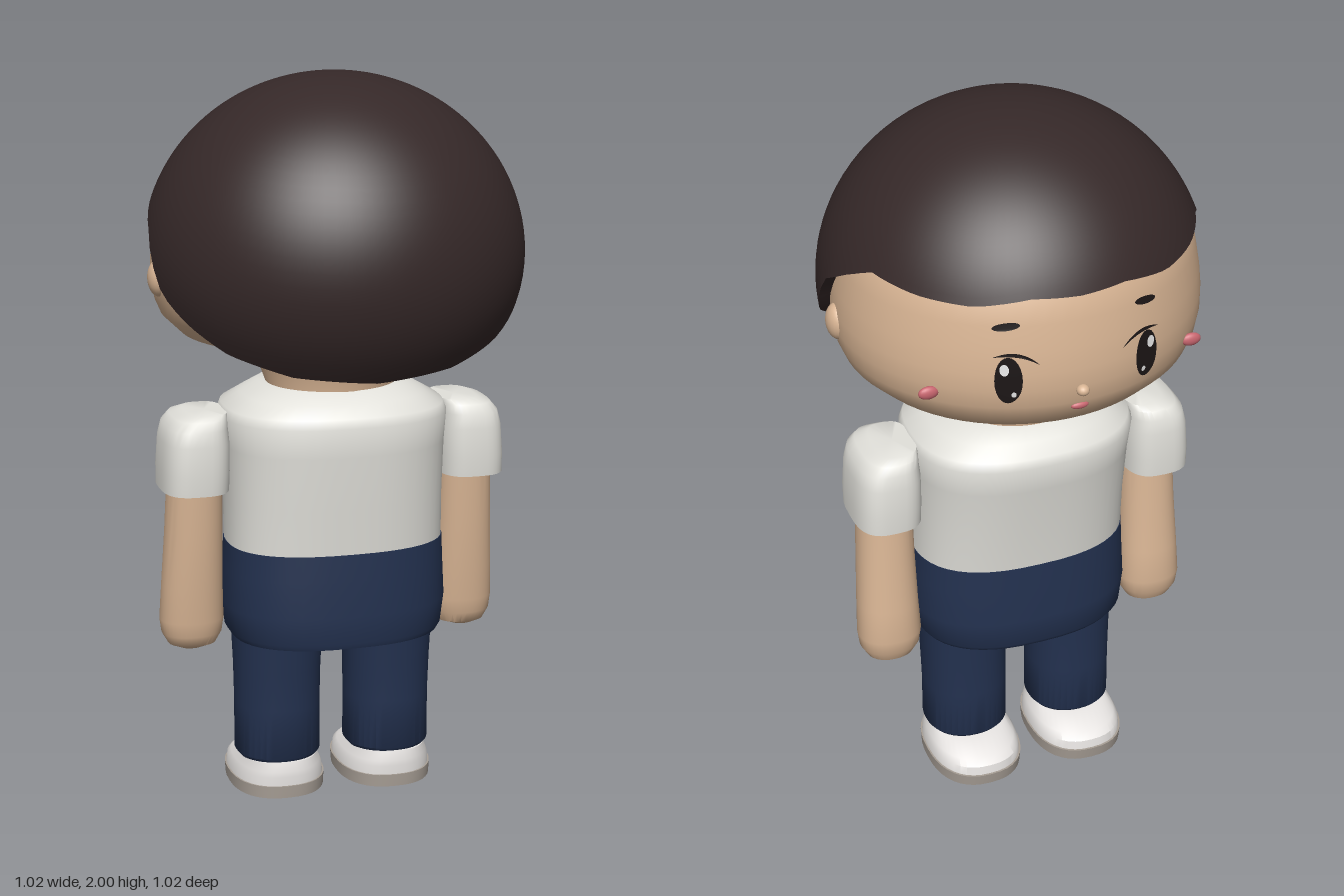
import * as THREE from 'three';
import { toCreasedNormals } from 'three/addons/utils/BufferGeometryUtils.js';

const mat = (name, color, side = THREE.FrontSide) => {
  const m = new THREE.MeshStandardMaterial({ color, side });
  m.name = name;
  return m;
};

// Linear lookup in a table of [key, value] pairs
function lookup(table, k) {
  for (let i = 1; i < table.length; i++) {
    const [k0, v0] = table[i - 1], [k1, v1] = table[i];
    if (k <= k1) return v0 + (v1 - v0) * Math.max(0, (k - k0) / (k1 - k0));
  }
  return table[table.length - 1][1];
}

// Skin over closed rows of points, listed bottom to top
function surface(rows, crease = 0.7) {
  const n = rows[0].length, index = [];
  for (let i = 0; i < rows.length - 1; i++) {
    for (let j = 0; j < n; j++) {
      const a = i * n + j, b = i * n + (j + 1) % n, c = a + n, d = b + n;
      index.push(a, c, b, b, c, d);
    }
  }
  const geo = new THREE.BufferGeometry();
  geo.setAttribute('position', new THREE.Float32BufferAttribute(rows.flat(2), 3));
  geo.setIndex(index);
  return toCreasedNormals(geo, crease);
}

// Capped loft of superellipse rings [y, xMin, xMax, zMin, zMax]
function loft(rings, power = 2, segments = 40, crease = 0.7) {
  const bend = (v) => Math.sign(v) * Math.abs(v) ** (2 / power);
  const row = ([y, x0, x1, z0, z1], s = 1) => Array.from({ length: segments }, (_, j) => {
    const t = (j / segments) * Math.PI * 2;
    return [(x0 + x1) / 2 + s * bend(Math.cos(t)) * (x1 - x0) / 2, y,
      (z0 + z1) / 2 + s * bend(Math.sin(t)) * (z1 - z0) / 2];
  });
  return surface([row(rings[0], 0), ...rings.map((r) => row(r)), row(rings[rings.length - 1], 0)], crease);
}

// Neck and head outline: [height, half width]
const HEAD = [[1.1, 0.18], [1.16, 0.18], [1.245, 0.21], [1.275, 0.31], [1.31, 0.41], [1.36, 0.462],
  [1.4, 0.479], [1.45, 0.488], [1.5, 0.488], [1.56, 0.482], [1.63, 0.47], [1.7, 0.455],
  [1.8, 0.385], [1.88, 0.28], [1.94, 0.14]];
const HEAD_Z = -0.03, HEAD_DEPTH = 0.94;

// Lower edge of the hair: [degrees away from the face, height]
const HAIRLINE = [[0, 1.7], [15, 1.705], [32, 1.685], [50, 1.688], [68, 1.7], [78, 1.66], [90, 1.6],
  [96, 1.53], [102, 1.45], [114, 1.38], [128, 1.315], [150, 1.265], [180, 1.245]];

function hairGeometry() {
  const segments = 96, steps = 26, rows = [];
  const radius = (y) => 0.512 * Math.sqrt(Math.max(0, 1 - ((y - 1.52) / (y > 1.52 ? 0.48 : 0.458)) ** 2));
  for (let i = -1; i <= steps; i++) {
    const row = [];
    for (let j = 0; j < segments; j++) {
      const t = (j / segments) * Math.PI * 2;
      const away = THREE.MathUtils.radToDeg(Math.acos(THREE.MathUtils.clamp(-Math.sin(t), -1, 1)));
      const rim = lookup(HAIRLINE, away);
      const k = 1 - Math.max(i, 0) / steps;
      const y = 2 - (2 - rim) * k ** 1.6;
      // the first row is a lip turned in under the edge
      const r = radius(y) * (i < 0 ? 0.93 : 1);
      row.push([r * Math.cos(t), y + (i < 0 ? 0.008 : 0), r * Math.sin(t)]);
    }
    rows.push(row);
  }
  return surface(rows, 0.9);
}

// Thin flat shape wrapped onto the face
function facePlate(shape, lift) {
  const geo = new THREE.ShapeGeometry(shape, 12);
  const p = geo.attributes.position;
  for (let i = 0; i < p.count; i++) {
    const u = p.getX(i), y = p.getY(i), r = lookup(HEAD, y) + lift;
    const x = Math.min(Math.max(u, -r), r);
    p.setXYZ(i, x, y, HEAD_Z - HEAD_DEPTH * Math.sqrt(r * r - x * x));
  }
  geo.computeVertexNormals();
  return geo;
}
const oval = (x, y, rx, ry, turn = 0) =>
  new THREE.Shape().absellipse(x, y, rx, ry, 0, Math.PI * 2, false, turn);

export function createModel() {
  const model = new THREE.Group();
  model.name = 'child';
  const skin = mat('skin', 0xdab695);
  const hair = mat('hair brown', 0x352828, THREE.DoubleSide);
  const shirt = mat('shirt white', 0xe2e1db);
  const navy = mat('navy cloth', 0x23314f);
  const shoeWhite = mat('shoe white', 0xe6e3e1);
  const soleTan = mat('sole taupe', 0xa89f96);
  const pink = mat('pink', 0xc8666f);
  const ink = mat('eye black', 0x1c1616, THREE.DoubleSide);
  const glint = mat('eye white', 0xf2f2f2, THREE.DoubleSide);

  const add = (name, geometry, material, parent = model) => {
    const mesh = new THREE.Mesh(geometry, material);
    mesh.name = name;
    parent.add(mesh);
    return mesh;
  };
  const ball = (name, material, [x, y, z], [sx, sy, sz]) => {
    const mesh = add(name, new THREE.SphereGeometry(1, 20, 14), material);
    mesh.position.set(x, y, z);
    mesh.scale.set(sx, sy, sz);
    return mesh;
  };

  // Head and hair
  add('headAndNeck', loft(HEAD.map(([y, r]) =>
    [y, -r, r, HEAD_Z - r * HEAD_DEPTH, HEAD_Z + r * HEAD_DEPTH]), 2, 64, 0.9), skin);
  add('hair', hairGeometry(), hair);
  ball('nose', skin, [0, 1.44, -0.493], [0.017, 0.015, 0.017]);
  ball('mouth', pink, [0, 1.385, -0.474], [0.024, 0.01, 0.009]);

  // Torso
  add('shirtBody', loft([
    [0.72, -0.3, 0.3, -0.23, 0.2], [0.85, -0.3, 0.3, -0.245, 0.21], [1.0, -0.305, 0.305, -0.27, 0.223],
    [1.08, -0.312, 0.312, -0.283, 0.227], [1.105, -0.302, 0.302, -0.274, 0.218],
    [1.135, -0.25, 0.25, -0.238, 0.178], [1.163, -0.2, 0.2, -0.2, 0.138],
  ], 2.5, 48), shirt);
  add('trouserTop', loft([
    [0.46, -0.29, 0.29, -0.235, 0.205], [0.475, -0.3, 0.3, -0.245, 0.21],
    [0.55, -0.31, 0.31, -0.243, 0.21], [0.65, -0.305, 0.305, -0.237, 0.206], [0.725, -0.302, 0.302, -0.232, 0.202],
  ], 2.5, 48), navy);

  for (const s of [1, -1]) {
    const side = s > 0 ? 'left' : 'right';
    const limb = (name, rings, material, power) => add(side + name,
      loft(rings.map(([y, a, b, z0, z1]) => [y, Math.min(a * s, b * s), Math.max(a * s, b * s), z0, z1]), power), material);

    // Arm and sleeve
    limb('Arm', [
      [0.417, 0.365, 0.425, -0.09, -0.035], [0.43, 0.325, 0.458, -0.125, -0.01],
      [0.46, 0.308, 0.475, -0.14, 0.003], [0.5, 0.302, 0.48, -0.145, 0.008],
      [0.6, 0.306, 0.475, -0.138, 0.02], [0.75, 0.308, 0.467, -0.123, 0.034], [0.95, 0.31, 0.458, -0.11, 0.045],
    ], skin, 2.2);
    limb('Sleeve', [
      [0.885, 0.298, 0.482, -0.168, 0.09], [0.94, 0.296, 0.482, -0.17, 0.094],
      [1.02, 0.296, 0.476, -0.167, 0.092], [1.06, 0.3, 0.466, -0.16, 0.086],
      [1.085, 0.3, 0.445, -0.148, 0.074], [1.097, 0.3, 0.41, -0.125, 0.052],
    ], shirt, 3);

    // Leg and shoe
    limb('Leg', [
      [0.095, 0.052, 0.265, -0.138, 0.078], [0.11, 0.04, 0.277, -0.15, 0.09],
      [0.25, 0.04, 0.277, -0.148, 0.09], [0.36, 0.038, 0.28, -0.146, 0.094], [0.5, 0.03, 0.287, -0.15, 0.103],
    ], navy, 2.2);
    limb('Sole', [
      [0, 0.025, 0.288, -0.245, 0.1], [0.035, 0.023, 0.29, -0.25, 0.102],
    ], soleTan, 2.4);
    limb('ShoeUpper', [
      [0.03, 0.027, 0.286, -0.245, 0.098], [0.06, 0.03, 0.283, -0.24, 0.098],
      [0.075, 0.038, 0.276, -0.22, 0.097], [0.1, 0.055, 0.262, -0.14, 0.09],
    ], shoeWhite, 2.4);

    // Ear, cheek and eye
    ball(side + 'Ear', skin, [0.48 * s, 1.47, 0], [0.03, 0.05, 0.042]);
    ball(side + 'Cheek', pink, [0.358 * s, 1.432, -0.355], [0.027, 0.018, 0.012]);
    add(side + 'Eye', facePlate(oval(0.185 * s, 1.487, 0.033, 0.066), 0.006), ink);
    add(side + 'EyeGlint', facePlate(oval(0.196 * s, 1.52, 0.011, 0.016), 0.01), glint);
    add(side + 'EyeSmallGlint', facePlate(oval(0.174 * s, 1.45, 0.006, 0.008), 0.01), glint);
    const lash = new THREE.Shape();
    lash.moveTo(0.11 * s, 1.53);
    lash.quadraticCurveTo(0.16 * s, 1.585, 0.222 * s, 1.552);
    lash.quadraticCurveTo(0.16 * s, 1.565, 0.11 * s, 1.53);
    add(side + 'Lash', facePlate(lash, 0.008), ink);
    add(side + 'Brow', facePlate(oval(0.185 * s, 1.632, 0.033, 0.01, -0.15 * s), 0.006), ink);
  }
  return model;
}
